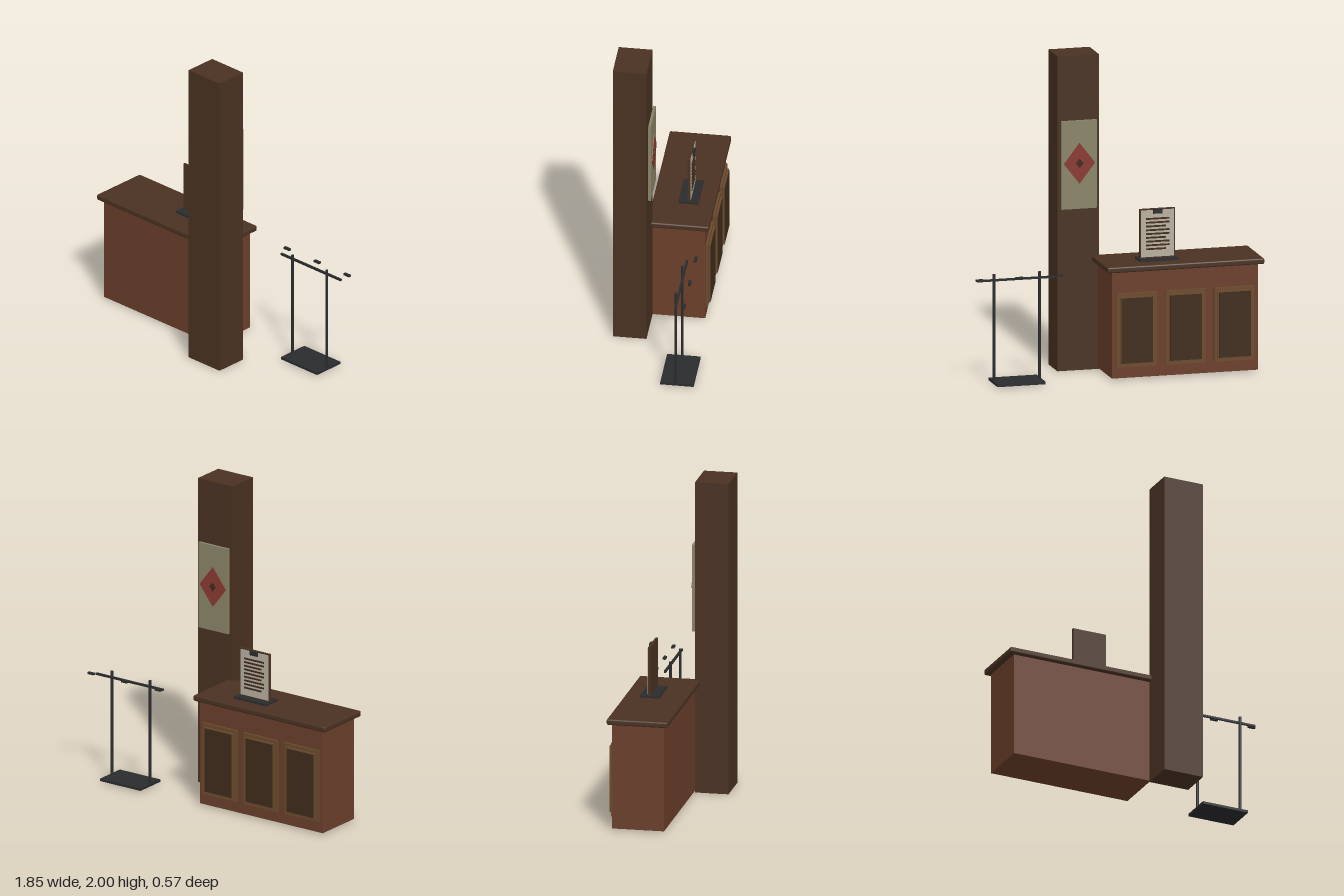
import * as THREE from 'three';
import { RoundedBoxGeometry } from 'three/addons/geometries/RoundedBoxGeometry.js';

const mat = (name, color) => {
  const m = new THREE.MeshStandardMaterial({ color });
  m.name = name;
  return m;
};

export function createModel() {
  const model = new THREE.Group();
  const darkWood = mat('dark wood', 0x4a3222);
  const redWood = mat('red wood', 0x6b3f2b);
  const trimWood = mat('trim wood', 0x6b4a2c);
  const panelWood = mat('panel wood', 0x402c1b);
  const metal = mat('black metal', 0x2a2b2d);
  const parchment = mat('parchment', 0x8a8468);
  const paper = mat('paper', 0xb8b0a0);
  const red = mat('faded red', 0x8a3a32);

  const add = (parent, name, geometry, material, x = 0, y = 0, z = 0) => {
    const mesh = new THREE.Mesh(geometry, material);
    mesh.name = name;
    mesh.position.set(x, y, z);
    parent.add(mesh);
    return mesh;
  };
  // Box given by its limits on each axis
  const box = (parent, name, material, x0, x1, y0, y1, z0, z1) =>
    add(parent, name, new THREE.BoxGeometry(x1 - x0, y1 - y0, z1 - z0), material,
      (x0 + x1) / 2, (y0 + y1) / 2, (z0 + z1) / 2);
  const group = (name) => {
    const g = new THREE.Group();
    g.name = name;
    model.add(g);
    return g;
  };

  // Pillar
  box(model, 'pillar', darkWood, 0.042, 0.308, 0, 2, 0.077, 0.288);

  // Counter with overhanging top
  const counter = group('counter');
  box(counter, 'counterBody', redWood, -0.89, 0.05, 0.01, 0.69, -0.254, 0.075);
  add(counter, 'counterTop', new RoundedBoxGeometry(1.01, 0.037, 0.386, 2, 0.01), darkWood,
    -0.42, 0.7025, -0.089);

  // Three stepped panels on the back
  for (const x of [-0.735, -0.42, -0.105]) {
    box(counter, 'panelFrame', trimWood, x - 0.13, x + 0.13, 0.08, 0.55, -0.267, -0.25);
    box(counter, 'panelStep', trimWood, x - 0.108, x + 0.108, 0.1, 0.527, -0.279, -0.26);
    box(counter, 'panelFace', panelWood, x - 0.102, x + 0.102, 0.106, 0.521, -0.282, -0.277);
  }

  // Notice board standing on the counter
  const notice = group('noticeBoard');
  const nx = -0.277;
  box(notice, 'noticeBase', metal, nx - 0.125, nx + 0.125, 0.72, 0.732, -0.182, -0.058);
  box(notice, 'noticeBack', darkWood, nx - 0.113, nx + 0.113, 0.73, 1.045, -0.13, -0.115);
  box(notice, 'noticePaper', paper, nx - 0.106, nx + 0.106, 0.74, 1.037, -0.134, -0.129);
  box(notice, 'noticeClip', metal, nx - 0.03, nx + 0.03, 1.015, 1.042, -0.143, -0.13);
  for (let i = 0; i < 9; i++) {
    const y = 0.785 + i * 0.024;
    const inset = i % 3 === 0 ? 0.02 : 0;
    box(notice, 'ruledLine', panelWood, nx - 0.075 + inset, nx + 0.075, y, y + 0.011, -0.137, -0.133);
  }

  // Poster behind the pillar
  const poster = group('poster');
  const px = 0.174;
  box(poster, 'posterSheet', parchment, px - 0.113, px + 0.113, 1.03, 1.59, 0.053, 0.069);
  const rhombus = (name, w, h, material, z) => {
    const s = new THREE.Shape();
    s.moveTo(w / 2, 0);
    s.lineTo(0, h / 2);
    s.lineTo(-w / 2, 0);
    s.lineTo(0, -h / 2);
    add(poster, name, new THREE.ExtrudeGeometry(s, { depth: 0.004, bevelEnabled: false }),
      material, px, 1.32, z);
  };
  rhombus('posterDiamond', 0.2, 0.26, red, 0.046);
  rhombus('posterDiamondCentre', 0.05, 0.06, panelWood, 0.044);

  // Metal stand with crossbar and three hooks
  const stand = group('stand');
  const sx = 0.64;
  box(stand, 'standBase', metal, sx - 0.155, sx + 0.155, 0.008, 0.024, -0.286, -0.077);
  for (const side of [-1, 1]) {
    add(stand, 'standPole', new THREE.CylinderGeometry(0.009, 0.009, 0.68, 12), metal,
      sx + side * 0.147, 0.361, -0.173);
  }
  box(stand, 'crossbar', metal, sx - 0.257, sx + 0.257, 0.659, 0.672, -0.193, -0.18);
  for (const dx of [-0.257, 0, 0.257]) {
    add(stand, 'hook', new THREE.BoxGeometry(0.046, 0.013, 0.018), metal, sx + dx, 0.682, -0.24);
  }
  return model;
}
